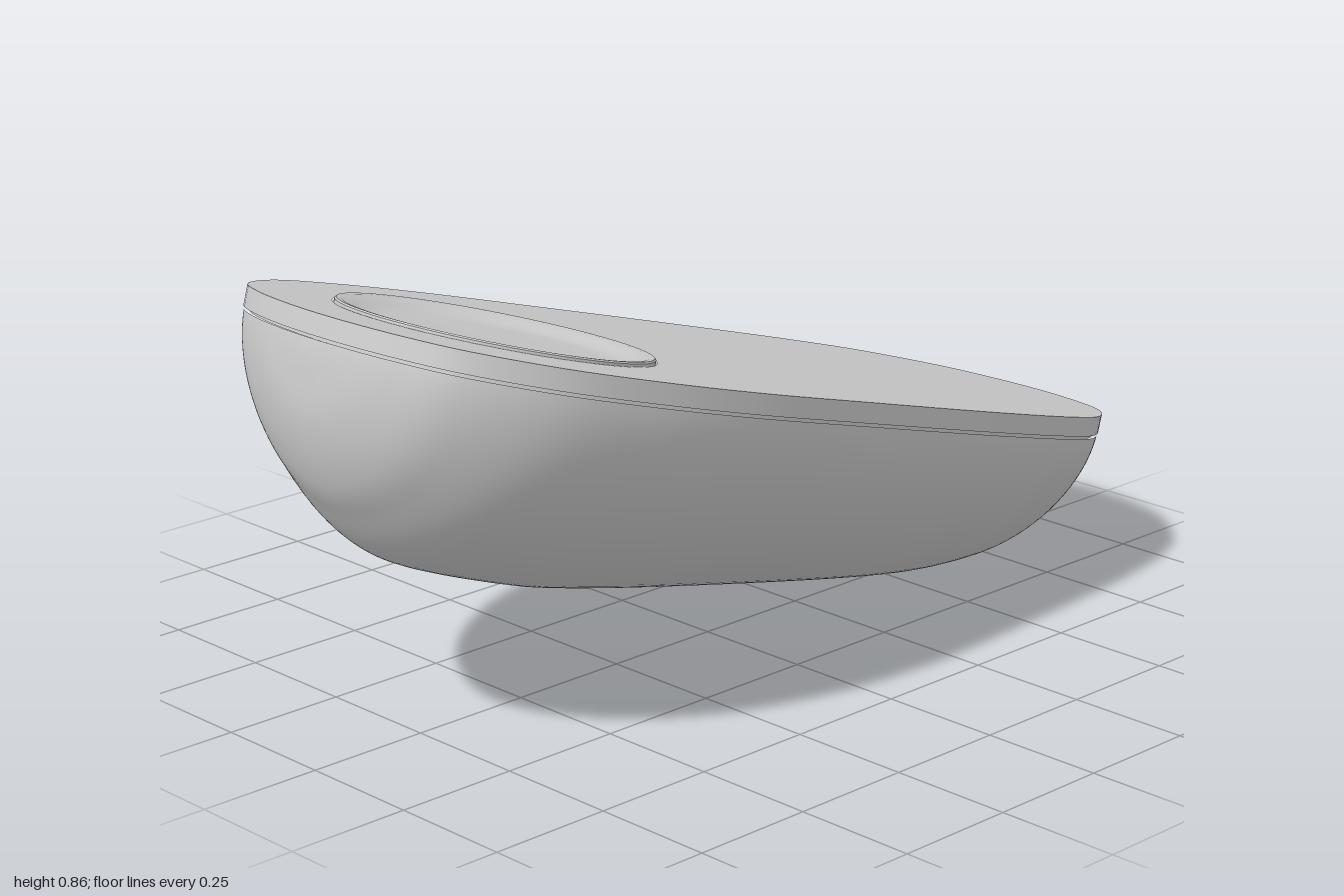
import * as THREE from 'three';
import { toCreasedNormals } from 'three/addons/utils/BufferGeometryUtils.js';

const SEAM = 0.046;      // depth of the hull rim below the lid's top face
const LID = 0.04;        // lid thickness
const TILT = 0.2815;     // slope of the whole body
const DIAL_Z = 0.585, DIAL_R = 0.304;

const material = new THREE.MeshStandardMaterial({ color: 0xcccccc });
const v2 = ([x, y]) => new THREE.Vector2(x, y);

// Half outline seen from above: [half width, position along the body], front to back
const HALF = [[0, 1.025], [0.1, 1.016], [0.2, 0.989], [0.3, 0.934], [0.4, 0.79], [0.45, 0.594], [0.468, 0.36],
  [0.45, 0.016], [0.418, -0.4], [0.38, -0.67], [0.335, -0.815], [0.22, -0.958], [0.11, -1.008], [0, -1.025]];

// Keel line: [position along the body, height below the lid's top face], front to back
const KEEL = [[1.025, -0.046], [1.018, -0.11], [1.0, -0.196], [0.955, -0.285], [0.893, -0.352], [0.762, -0.435],
  [0.505, -0.469], [0.296, -0.471], [-0.115, -0.451], [-0.523, -0.422], [-0.722, -0.39], [-0.817, -0.357],
  [-0.904, -0.301], [-0.978, -0.196], [-1.007, -0.115], [-1.025, -0.046]];

function outlinePoints() {
  const mirrored = HALF.slice(1, -1).reverse().map(([x, u]) => [-x, u]);
  const pts = [...HALF, ...mirrored].map(([x, u]) => new THREE.Vector3(x, u, 0));
  return new THREE.CatmullRomCurve3(pts, true, 'centripetal').getSpacedPoints(200)
    .slice(0, -1).map((p) => new THREE.Vector2(p.x, p.y));
}

// Depth of the keel below the seam at position u
const keel = new THREE.SplineCurve(KEEL.map(v2)).getPoints(600);
function keelDepth(u) {
  for (let i = 1; i < keel.length; i++) {
    const a = keel[i - 1], b = keel[i];
    if (u <= a.x && u >= b.x) {
      const t = (a.x - u) / Math.max(a.x - b.x, 1e-6);
      return Math.max(0, -(a.y + (b.y - a.y) * t) - SEAM);
    }
  }
  return 0;
}

// Bowl-shaped body: superellipse half-sections strung along its length
function hullGeometry() {
  const pts = HALF.map(([x, u]) => new THREE.Vector3(x, u, 0));
  const back = pts.slice(1, -1).reverse().map((p) => new THREE.Vector3(-p.x, p.y, 0));
  const loop = new THREE.CatmullRomCurve3([...pts, ...back], true, 'centripetal');
  const rows = 140, cols = 56, power = 2 / 1.75;
  const end = (HALF.length - 1) / (pts.length + back.length);
  const pos = [], index = [];
  for (let i = 0; i <= rows; i++) {
    const p = loop.getPoint(end * (1 - i / rows));
    const w = Math.max(0, p.x) * 0.997, u = p.y * 0.998, d = keelDepth(u);
    for (let j = 0; j <= cols; j++) {
      const a = Math.PI * j / cols, c = Math.cos(a), s = Math.max(0, Math.sin(a));
      pos.push(w * Math.sign(c) * Math.abs(c) ** power, -SEAM - d * s ** power, u);
      if (i < rows && j < cols) {
        const k = i * (cols + 1) + j, n = k + cols + 1;
        index.push(k, n, k + 1, n, n + 1, k + 1);
      }
    }
  }
  const g = new THREE.BufferGeometry();
  g.setAttribute('position', new THREE.Float32BufferAttribute(pos, 3));
  g.setIndex(index);
  g.computeVertexNormals();
  return g;
}

// Flat slab cut to the outline, its top face at y = top
function slab(points, top, depth, hole) {
  const shape = new THREE.Shape(points);
  if (hole) shape.holes.push(new THREE.Path().absarc(0, DIAL_Z, DIAL_R, 0, Math.PI * 2, true));
  const g = new THREE.ExtrudeGeometry(shape, { depth, bevelEnabled: false, curveSegments: 72 });
  g.rotateX(Math.PI / 2).translate(0, top, 0);
  return toCreasedNormals(g, 0.6);
}

export function createModel() {
  const model = new THREE.Group();
  model.name = 'handheldDevice';
  const body = new THREE.Group();
  body.name = 'body';
  body.rotation.x = -TILT;
  body.position.set(0, 0.58, -0.015);
  model.add(body);

  const add = (name, geometry) => {
    const mesh = new THREE.Mesh(geometry, material);
    mesh.name = name;
    body.add(mesh);
    return mesh;
  };

  const outline = outlinePoints();
  add('hull', hullGeometry());
  add('lid', slab(outline, 0, LID, true));

  // Recessed strip that shows as the seam between lid and hull
  const inset = outline.map((p) => p.clone().multiplyScalar(0.985));
  add('seam', slab(inset, -LID + 0.002, 0.01, false));

  // Round dished pad with a slightly raised rim
  const profile = [[DIAL_R - 0.003, -0.035], [DIAL_R - 0.003, 0.005], [DIAL_R - 0.006, 0.008], [0.288, 0.007],
    [0.265, -0.001], [0.245, -0.008], [0.225, -0.012], [0.2, -0.013], [0, -0.013]].map(v2);
  const dial = add('dishedPad', toCreasedNormals(new THREE.LatheGeometry(profile, 72), 0.6));
  dial.position.z = DIAL_Z;

  return model;
}
